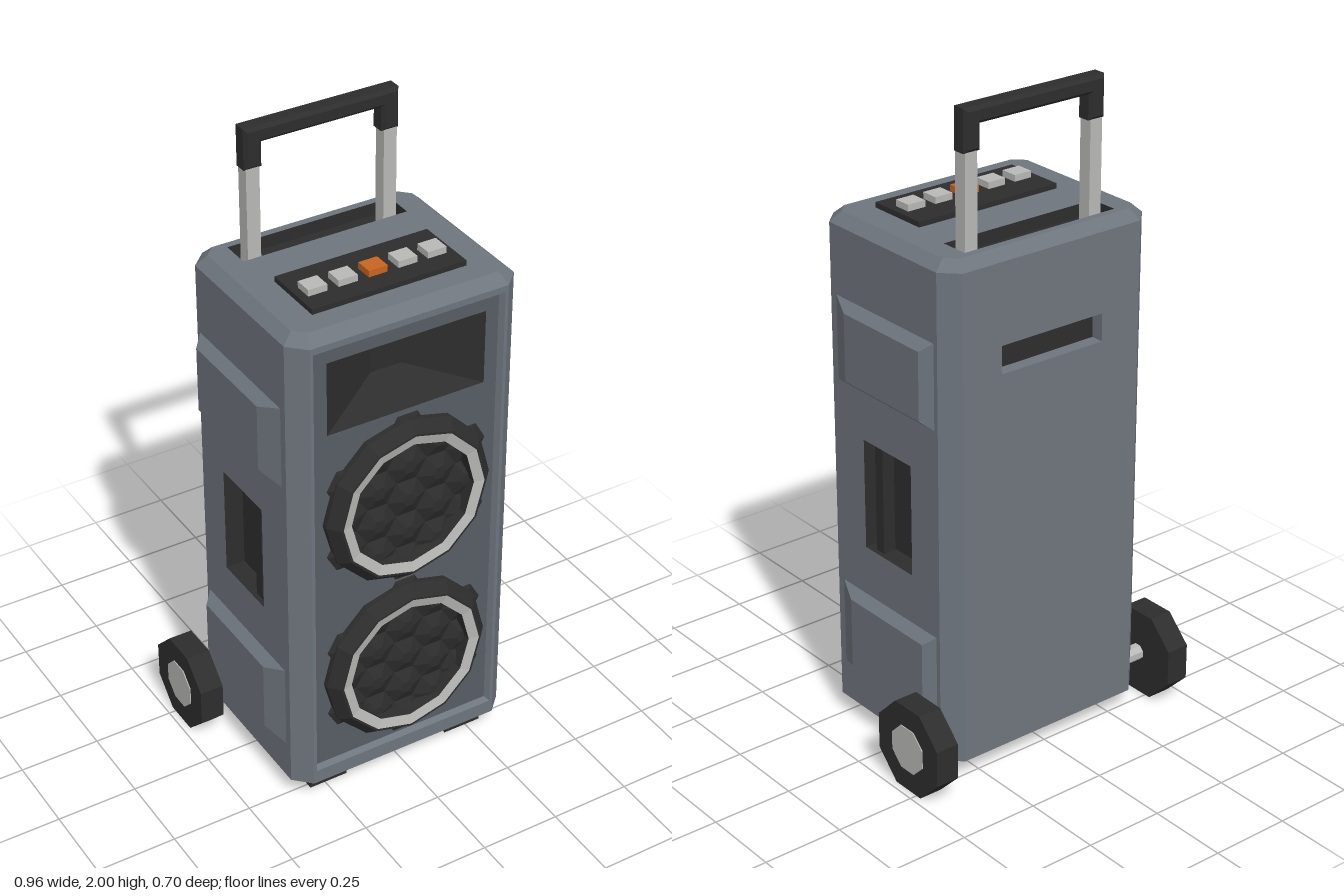
import * as THREE from 'three';

const mat = (name, color, side = THREE.FrontSide) =>
  Object.assign(new THREE.MeshStandardMaterial({ color, flatShading: true, side }), { name });

const rect = (x0, y0, x1, y1) => [[x0, y0], [x1, y0], [x1, y1], [x0, y1]];

// Flat face looking along +z, with optional holes
function face(points, z, holes = []) {
  const toV = (p) => p.map(([x, y]) => new THREE.Vector2(x, y));
  const shape = new THREE.Shape(toV(points));
  shape.holes = holes.map((h) => new THREE.Path(toV(h)));
  return new THREE.ShapeGeometry(shape).translate(0, 0, z);
}

// Sloping walls joining two outlines at different depths
function walls(a, za, b, zb, keep = () => true) {
  const pos = [];
  a.forEach((p, i) => {
    if (!keep(i)) return;
    const j = (i + 1) % a.length;
    const A = [...p, za], B = [...a[j], za], C = [...b[j], zb], D = [...b[i], zb];
    pos.push(...A, ...B, ...C, ...A, ...C, ...D);
  });
  const g = new THREE.BufferGeometry();
  g.setAttribute('position', new THREE.Float32BufferAttribute(pos, 3));
  g.computeVertexNormals();
  return g;
}

// Outline of the cabinet seen from above, with cut corners (y = -z)
function plan(hx, front, back, c) {
  return [[-hx + c, -front], [hx - c, -front], [hx, -front + c], [hx, back - c],
    [hx - c, back], [-hx + c, back], [-hx, back - c], [-hx, -front + c]];
}

export function createModel() {
  const body = mat('slate body', 0x6e757d);
  const panel = mat('dark slate panel', 0x565d63);
  const dark = mat('black plastic', 0x2d2d2d);
  const silver = mat('silver', 0xb8b8b6);
  const orange = mat('orange', 0xc8641f);

  const model = new THREE.Group();
  model.name = 'trolleySpeaker';
  const add = (parent, name, geo, material, x = 0, y = 0, z = 0) => {
    const m = new THREE.Mesh(geo, material);
    m.name = name;
    m.position.set(x, y, z);
    parent.add(m);
    return m;
  };
  const group = (name, parent = model) => {
    const g = new THREE.Group();
    g.name = name;
    parent.add(g);
    return g;
  };
  const box = (w, h, d) => new THREE.BoxGeometry(w, h, d);

  // Cabinet corners, top bevel, top and bottom
  const Y0 = 0.06, Y1 = 1.58, Y2 = 1.61, HX = 0.365, ZF = 0.315, ZB = -0.27, C = 0.05;
  const outer = plan(HX, ZF, -ZB, C);
  const inner = plan(HX - 0.032, ZF - 0.035, -ZB - 0.032, 0.032);
  const cabinet = group('cabinet');
  const upright = (g) => g.rotateX(-Math.PI / 2);
  add(cabinet, 'corners', upright(walls(outer, Y0, outer, Y1, (i) => i % 2 === 1)), body);
  add(cabinet, 'topBevel', upright(walls(outer, Y1, inner, Y2)), body);
  const slot = rect(-0.265, 0.125, 0.265, 0.215);
  add(cabinet, 'top', upright(face(inner, Y2, [slot])), body);
  add(cabinet, 'handleSlotWalls', upright(walls(slot, Y2, slot, Y2 - 0.04)), dark);
  add(cabinet, 'handleSlotFloor', upright(face(slot, Y2 - 0.04)), dark);
  add(cabinet, 'bottom', face(plan(HX, -ZB, ZF, C), 0).rotateX(Math.PI / 2), body, 0, Y0, 0);

  // Front frame with its recessed panel
  const ZP = 0.298;
  const front = group('front');
  const opening = rect(-0.305, 0.105, 0.305, 1.56);
  const panelEdge = rect(-0.295, 0.115, 0.295, 1.55);
  const horn = rect(-0.254, 1.275, 0.254, 1.508);
  const throat = rect(-0.05, 1.35, 0.05, 1.435);
  add(front, 'frontFrame', face(rect(-HX + C, Y0, HX - C, Y1), ZF, [opening]), body);
  add(front, 'frameLip', walls(opening, ZF, panelEdge, ZP), body);
  add(front, 'frontPanel', face(panelEdge, ZP, [horn]), panel);
  add(front, 'hornFlare', walls(horn, ZP, throat, 0.19), dark);
  add(front, 'hornThroat', face(throat, 0.19), dark);

  // Back with a grip slot
  const back = group('back');
  back.rotation.y = Math.PI;
  const grip = rect(-0.18, 1.25, 0.18, 1.335);
  add(back, 'backFace', face(rect(-HX + C, Y0, HX - C, Y1), -ZB, [grip]), body);
  add(back, 'backSlotWalls', walls(grip, -ZB, grip, -ZB - 0.04), body);
  add(back, 'backSlotFloor', face(grip, -ZB - 0.04), dark);

  // Sides: pocket handles and raised bumpers
  for (const s of [1, -1]) {
    const side = group(s > 0 ? 'leftSide' : 'rightSide');
    side.rotation.y = s * Math.PI / 2;
    const zRect = (za, y0, zb, y1) => (s > 0 ? rect(-zb, y0, -za, y1) : rect(za, y0, zb, y1));
    const pocket = zRect(-0.095, 0.615, 0.125, 0.96);
    add(side, 'sideFace', face(zRect(ZB + C, Y0, ZF - C, Y1), HX, [pocket]), body);
    add(side, 'pocketWalls', walls(pocket, HX, pocket, HX - 0.06), dark);
    add(side, 'pocketFloor', face(pocket, HX - 0.06), dark);
    add(side, 'pocketBar', box(0.035, 0.345, 0.04), dark, -s * 0.075, 0.7875, HX - 0.035);
    for (const [y0, y1] of [[0.185, 0.46], [1.11, 1.37]]) {
      const base = zRect(-0.205, y0, 0.24, y1);
      const crown = zRect(-0.175, y0 + 0.026, 0.165, y1 - 0.026);
      add(side, 'bumperSlopes', walls(base, HX, crown, HX + 0.03), body);
      add(side, 'bumperFace', face(crown, HX + 0.03), body);
    }
  }

  // Two drivers: twelve-sided surround, silver ring, honeycomb grille
  const lathe = (pts) => new THREE.LatheGeometry(pts.map(([r, y]) => new THREE.Vector2(r, y)), 12)
    .rotateX(Math.PI / 2);
  const R = 0.065;
  for (const y of [0.41, 0.98]) {
    const driver = group('driver');
    driver.position.set(0, y, ZP);
    add(driver, 'surround', lathe([[0.27, 0], [0.27, 0.018], [0.24, 0.052], [0.233, 0.052]]), dark);
    add(driver, 'silverRing', lathe([[0.233, 0.052], [0.202, 0.044]]), silver);
    add(driver, 'innerWall', lathe([[0.202, 0.044], [0.198, 0]]), dark);
    add(driver, 'grilleBack', new THREE.CircleGeometry(0.22, 12), dark, 0, 0, 0.004);
    for (let i = -2; i <= 2; i++) {
      for (let j = -2; j <= 2; j++) {
        const x = i * 1.5 * R, cy = (j + (i % 2 ? 0.5 : 0)) * Math.sqrt(3) * R;
        if (Math.hypot(x, cy) > 0.24) continue;
        const cell = new THREE.CylinderGeometry(0.022, R, 0.018, 6, 1, false, Math.PI / 6);
        add(driver, 'grilleCell', cell.rotateX(Math.PI / 2), dark, x, cy, 0.014);
      }
    }
  }

  // Control plate and buttons
  const controls = group('controls');
  add(controls, 'controlPlate', box(0.49, 0.016, 0.2), dark, 0, Y2 + 0.008, 0.11);
  for (let i = -2; i <= 2; i++) {
    add(controls, 'button', box(0.06, 0.024, 0.055), i ? silver : orange, i * 0.095, 1.634, 0.12);
  }

  // Pull-out handle
  const handle = group('handle');
  for (const s of [1, -1]) add(handle, 'post', box(0.042, 0.35, 0.042), silver, s * 0.219, 1.735, -0.165);
  const u = [[-0.245, 1.875], [-0.19, 1.875], [-0.19, 1.95], [0.19, 1.95],
    [0.19, 1.875], [0.245, 1.875], [0.245, 2], [-0.245, 2]];
  const gripGeo = new THREE.ExtrudeGeometry(new THREE.Shape(u.map(([x, y]) => new THREE.Vector2(x, y))), {
    depth: 0.038, bevelSize: 0.01, bevelThickness: 0.01, bevelOffset: -0.01, bevelSegments: 1,
  });
  add(handle, 'handleGrip', gripGeo, dark, 0, 0, -0.185);

  // Axle, octagonal wheels and front feet
  const disc = (r, w, n) => new THREE.CylinderGeometry(r, r, w, n, 1, false, Math.PI / n).rotateZ(Math.PI / 2);
  const WY = 0.137, WZ = -0.212;
  add(model, 'axle', disc(0.026, 0.84, 8), silver, 0, WY, WZ);
  for (const s of [1, -1]) {
    const wheel = group(s > 0 ? 'leftWheel' : 'rightWheel');
    wheel.position.set(s * 0.4405, WY, WZ);
    add(wheel, 'tyre', disc(0.148, 0.075, 8), dark);
    add(wheel, 'hub', disc(0.076, 0.008, 8), silver, s * 0.0365);
    add(model, 'foot', box(0.125, 0.06, 0.085), dark, s * 0.238, 0.03, 0.225);
  }
  return model;
}
